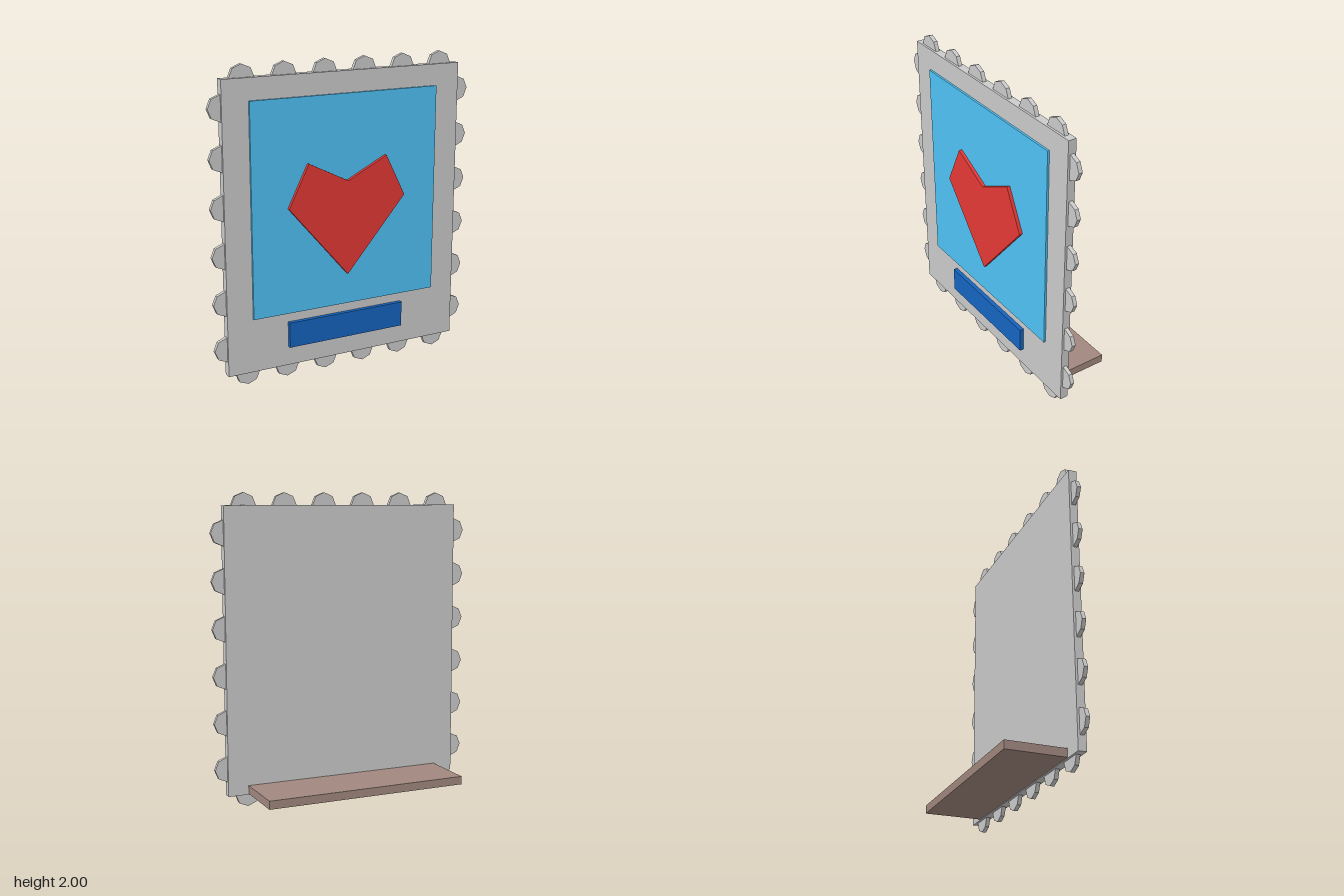
import * as THREE from 'three';

const mat = (color) => new THREE.MeshStandardMaterial({ color, flatShading: true });
const grey = mat(0xcccccc);

function add(group, name, geometry, material, x, y, z) {
  const mesh = new THREE.Mesh(geometry, material);
  mesh.name = name;
  mesh.position.set(x, y, z);
  group.add(mesh);
  return mesh;
}

export function createModel() {
  const model = new THREE.Group();
  model.name = 'stampSign';
  const box = (name, w, h, d, material, x, y, z) =>
    add(model, name, new THREE.BoxGeometry(w, h, d), material, x, y, z);

  // Panel, picture, label and the shelf behind
  box('panel', 1.624, 1.84, 0.054, grey, 0, 1, 0.174);
  box('picture', 1.286, 1.354, 0.027, mat(0x4fc3f7), 0, 1.107, 0.201);
  box('label', 0.812, 0.165, 0.04, mat(0x1565c0), 0, 0.288, 0.208);
  box('shelf', 1.354, 0.054, 0.388, mat(0xa1887f), 0, 0.112, -0.041);

  // Angular heart
  const heart = new THREE.Shape([
    [0, 0.633], [0.406, 1.107], [0.271, 1.377], [0, 1.242], [-0.271, 1.377], [-0.406, 1.107],
  ].map(([x, y]) => new THREE.Vector2(x, y)));
  add(model, 'heart', new THREE.ExtrudeGeometry(heart, { depth: 0.026, bevelEnabled: false }),
    mat(0xe53935), 0, 0, 0.21);

  // Octagonal scallops, six along each edge
  const scallops = new THREE.Group();
  scallops.name = 'scallopedEdge';
  model.add(scallops);
  const disc = new THREE.CylinderGeometry(0.081, 0.081, 0.026, 8).rotateX(Math.PI / 2);
  for (let i = 0; i < 6; i++) {
    const t = i - 2.5;
    for (const side of [-1, 1]) {
      add(scallops, 'horizontalEdgeScallop', disc, grey, t * 0.271, 1 + side * 0.919, 0.174);
      add(scallops, 'verticalEdgeScallop', disc, grey, side * 0.812, 1.003 + t * 0.299, 0.174);
    }
  }
  return model;
}
